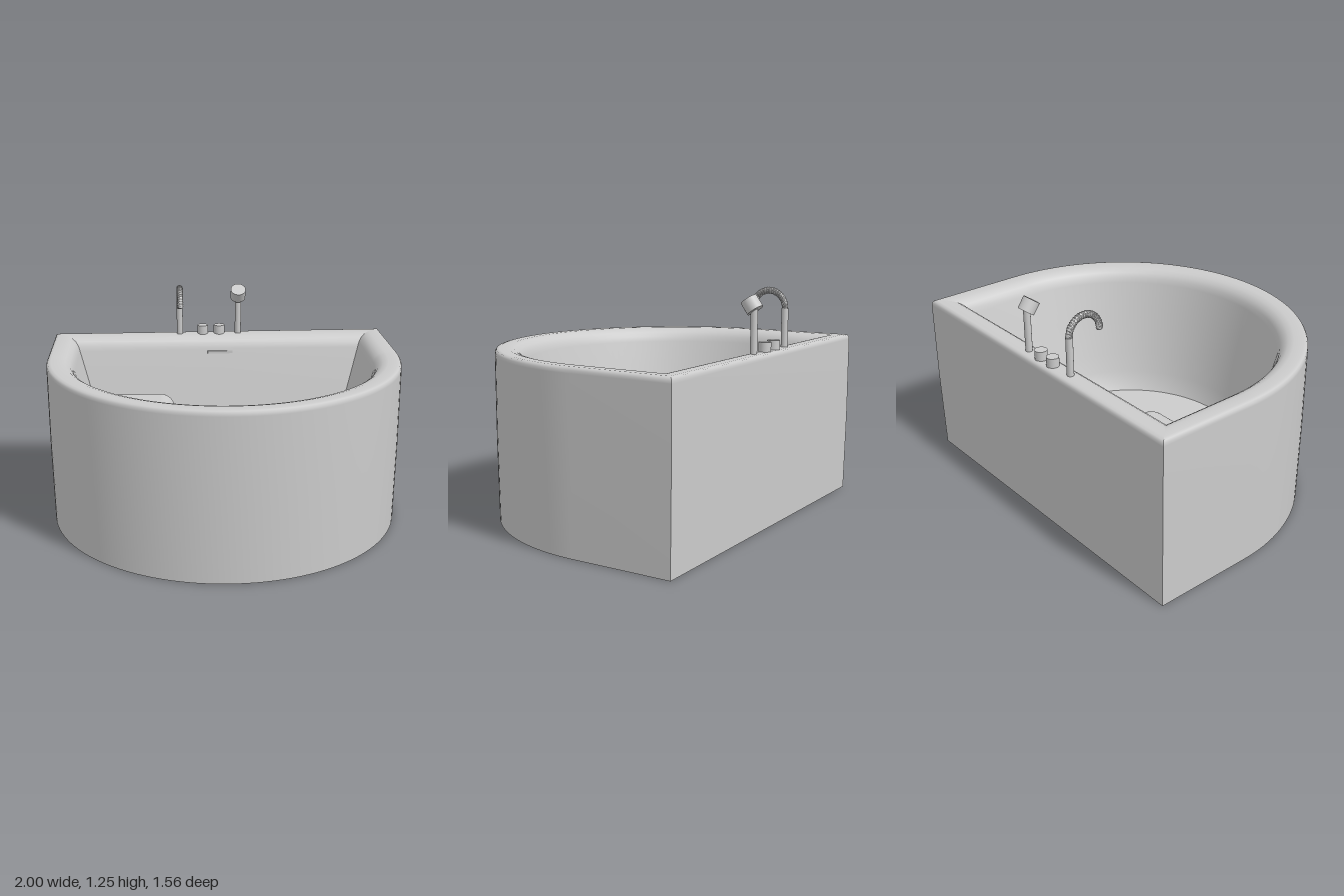
import * as THREE from 'three';
import { RoundedBoxGeometry } from 'three/addons/geometries/RoundedBoxGeometry.js';

const material = new THREE.MeshStandardMaterial({ color: 0xcccccc });
const doubleSided = new THREE.MeshStandardMaterial({ color: 0xcccccc, side: THREE.DoubleSide });

// Tub section from the ground, over the rim, to the floor: [inset, height, extra side inset]
const PROFILE = [
  [0.006, 0, 0], [0, 0.45, 0], [0, 0.9, 0], [0.002, 0.915, 0], [0.009, 0.926, 0], [0.025, 0.93, 0],
  [0.075, 0.93, 0], [0.105, 0.922, 0], [0.13, 0.905, 0], [0.146, 0.88, 0], [0.155, 0.85, 0],
  [0.2, 0.65, 0.01], [0.25, 0.42, 0.025], [0.275, 0.31, 0.035], [0.29, 0.25, 0.045], [0.31, 0.2, 0.06],
];

// D-shaped outline from the back left corner, round the front, to the back right corner
function outline([inset, y, extra]) {
  const half = 1 - inset - extra;
  const centre = 0.78 - inset - half;
  const back = -0.78 + inset;
  const points = [new THREE.Vector3(half, y, back)];
  for (let i = 0; i <= 64; i++) {
    const a = (Math.PI * i) / 64;
    points.push(new THREE.Vector3(half * Math.cos(a), y, centre + half * Math.sin(a)));
  }
  points.push(new THREE.Vector3(-half, y, back));
  return points;
}

// Smooth surface through rows of points
function loft(rows) {
  const cols = rows[0].length;
  const index = [];
  for (let j = 0; j < rows.length - 1; j++) {
    for (let i = 0; i < cols - 1; i++) {
      const a = j * cols + i, b = a + 1, d = a + cols, c = d + 1;
      index.push(a, d, c, a, c, b);
    }
  }
  const geometry = new THREE.BufferGeometry().setFromPoints(rows.flat());
  geometry.setIndex(index);
  geometry.computeVertexNormals();
  return geometry;
}

// Flat D-shaped cap, facing up or down
function cap(section, up) {
  const s = up ? -1 : 1;
  const shape = new THREE.Shape(outline(section).map((p) => new THREE.Vector2(p.x, s * p.z)));
  return new THREE.ShapeGeometry(shape).rotateX((s * Math.PI) / 2).translate(0, section[1], 0);
}

export function createModel() {
  const model = new THREE.Group();
  const add = (name, geometry, x = 0, y = 0, z = 0, parent = model, mat = material) => {
    const mesh = new THREE.Mesh(geometry, mat);
    mesh.name = name;
    mesh.position.set(x, y, z);
    parent.add(mesh);
    return mesh;
  };
  const cylinder = (r, h, n = 32) => new THREE.CylinderGeometry(r, r, h, n);

  // Tub shell: curved wall and straight back meet in mitred corners
  const rows = PROFILE.map(outline);
  const tub = new THREE.Group();
  tub.name = 'tub';
  model.add(tub);
  add('curvedWall', loft(rows), 0, 0, 0, tub, doubleSided);
  add('backWall', loft(rows.map((r) => [r[r.length - 1], r[0]])), 0, 0, 0, tub, doubleSided);
  add('tubFloor', cap(PROFILE[PROFILE.length - 1], true), 0, 0, 0, tub);
  add('tubUnderside', cap(PROFILE[0], false), 0, 0, 0, tub);

  // Rounded seat in the back corner
  add('seat', new RoundedBoxGeometry(0.47, 0.44, 0.35, 6, 0.09), -0.515, 0.395, -0.395);

  // Drain, overflow slot and water jets
  add('drain', cylinder(0.035, 0.008), 0, 0.203, 0);
  add('overflowSlot', new THREE.BoxGeometry(0.15, 0.016, 0.014), 0, 0.835, -0.622);
  for (const x of [0, 0.48]) {
    add('waterJet', cylinder(0.033, 0.02), x, 0.445, -0.53).rotation.x = Math.PI / 2 - 0.2;
  }

  // Tap knobs
  for (const x of [-0.1, 0]) add('tapKnob', cylinder(0.033, 0.06), x, 0.95, -0.725);

  // Spout: straight post and a ribbed hook
  const spout = new THREE.Group();
  spout.name = 'spout';
  spout.position.set(-0.24, 0, -0.6275);
  model.add(spout);
  add('spoutPost', cylinder(0.0185, 0.215, 20), 0, 1.0275, -0.0925, spout);
  const hookPoint = (t) => new THREE.Vector3(
    0, 1.135 + 0.0925 * Math.sin(Math.PI * t), -0.0925 * Math.cos(Math.PI * t));
  const hook = new THREE.CatmullRomCurve3(Array.from({ length: 17 }, (_, i) => hookPoint(i / 16)));
  add('spoutHook', new THREE.TubeGeometry(hook, 40, 0.0165, 14), 0, 0, 0, spout, doubleSided);
  for (let i = 0; i <= 22; i++) {
    const p = hookPoint(i / 22);
    const rib = add('spoutRib', new THREE.TorusGeometry(0.0155, 0.004, 6, 16), p.x, p.y, p.z, spout);
    rib.lookAt(p.clone().add(hook.getTangent(i / 22)));
  }
  add('spoutTip', cylinder(0.0165, 0.006, 16), 0, 1.134, 0.0925, spout);

  // Hand shower: post with a tilted head
  add('showerPost', cylinder(0.0185, 0.24, 20), 0.115, 1.04, -0.72);
  add('showerHead', cylinder(0.045, 0.068), 0.115, 1.178, -0.706).rotation.x = 0.62;

  return model;
}
